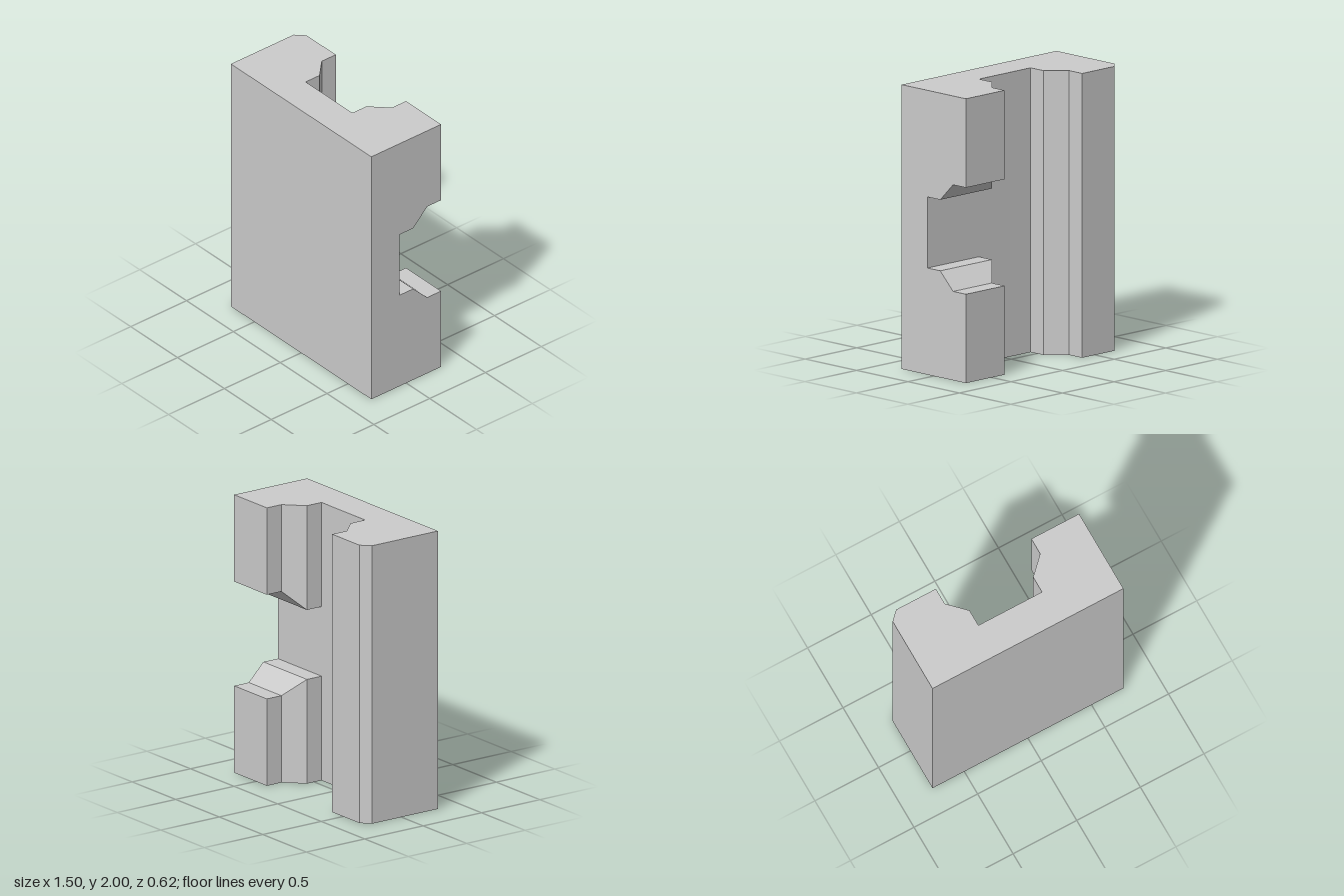
import * as THREE from 'three';

// Groove cross-section shared by both channels: [half width, z], floor to mouth
const GROOVE = [[0.25, 0.0625], [0.25, -0.0625], [0.375, -0.1875], [0.375, -0.3125]];
const W = 0.75, D = 0.3125, H = 2;

// Corner block between the two channels: rectangles lofted along -z
function cornerBlock(yRange) {
  const rings = GROOVE.map(([w, z]) => {
    const [y0, y1] = yRange(w);
    return [[w, y0, z], [w, y1, z], [W, y1, z], [W, y0, z]];
  });
  const pos = [];
  const quad = (a, b, c, d) => pos.push(...a, ...b, ...c, ...a, ...c, ...d);
  for (let i = 0; i < rings.length - 1; i++) {
    for (let k = 0; k < 4; k++) {
      const n = (k + 1) % 4;
      quad(rings[i][k], rings[i][n], rings[i + 1][n], rings[i + 1][k]);
    }
  }
  quad(...rings[rings.length - 1]);
  const geo = new THREE.BufferGeometry();
  geo.setAttribute('position', new THREE.Float32BufferAttribute(pos, 3));
  geo.computeVertexNormals();
  return geo;
}

export function createModel() {
  const group = new THREE.Group();
  const material = new THREE.MeshStandardMaterial({ color: 0xcccccc, flatShading: true });
  const add = (name, geo) => {
    const mesh = new THREE.Mesh(geo, material);
    mesh.name = name;
    group.add(mesh);
  };

  // Front slab with the full-height chamfered rail, extruded upward from its plan
  const plan = [
    [-W, D], [W, D], [W, GROOVE[0][1]],
    ...GROOVE.map(([w, z]) => [-w, z]),
    [-0.6875, -D], [-W, -0.25],
  ];
  const shape = new THREE.Shape(plan.map(([x, z]) => new THREE.Vector2(x, -z)));
  const body = new THREE.ExtrudeGeometry(shape, { depth: H, bevelEnabled: false });
  body.rotateX(-Math.PI / 2);
  add('slabAndRail', body);

  // Blocks above and below the side channel
  add('upperBlock', cornerBlock((w) => [H / 2 + w, H]));
  add('lowerBlock', cornerBlock((w) => [0, H / 2 - w]));

  return group;
}
